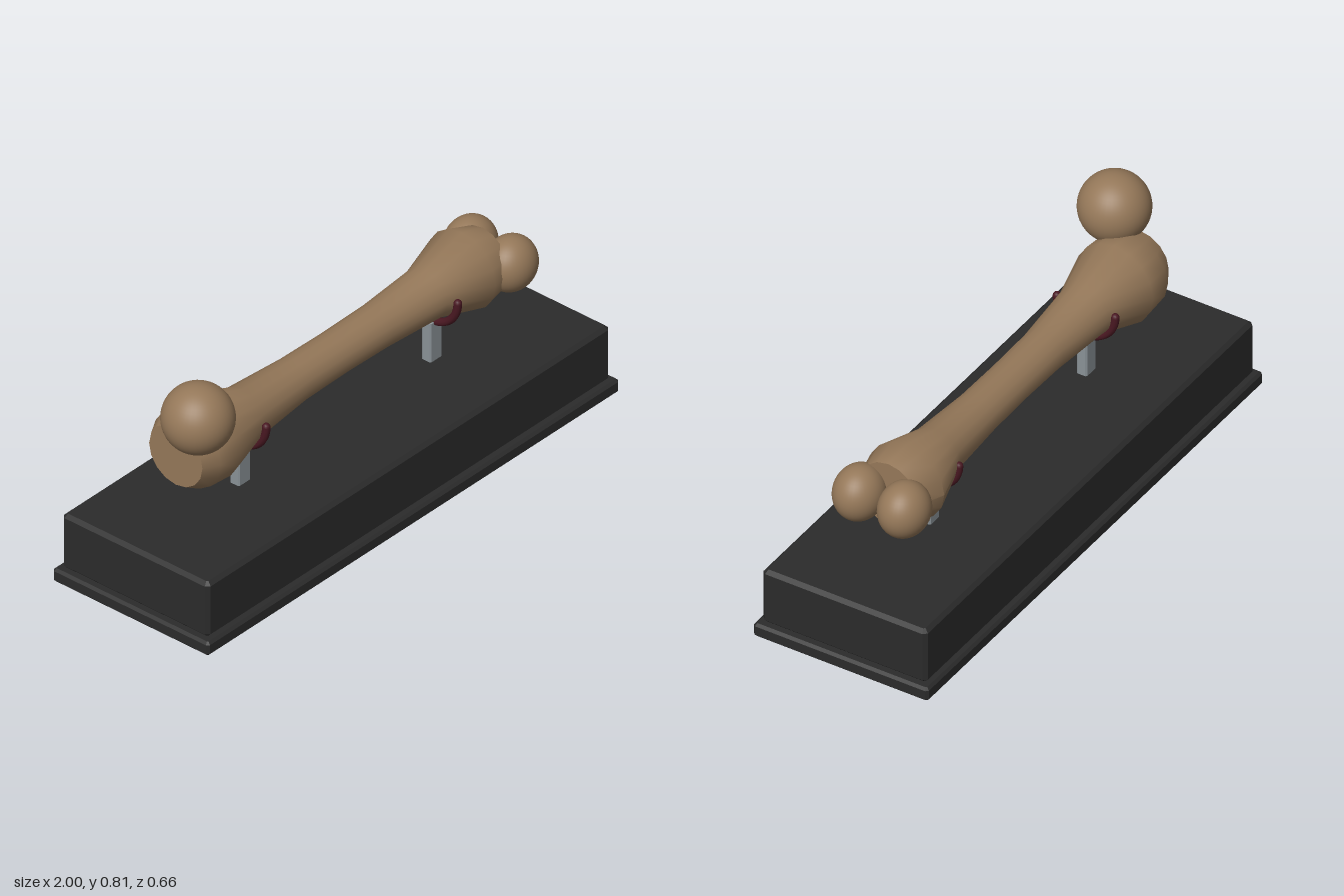
import * as THREE from 'three';
import { toCreasedNormals } from 'three/addons/utils/BufferGeometryUtils.js';

const mat = (name, color) => new THREE.MeshStandardMaterial({ name, color });

function add(parent, name, geometry, material, x = 0, y = 0, z = 0) {
  const mesh = new THREE.Mesh(geometry, material);
  mesh.name = name;
  mesh.position.set(x, y, z);
  parent.add(mesh);
  return mesh;
}

// Box with every edge cut by c, standing on y = 0
function chamferedBox(w, h, d, c) {
  const a = w / 2, b = d / 2;
  const shape = new THREE.Shape([
    [a - c, -b], [a, c - b], [a, b - c], [a - c, b],
    [c - a, b], [-a, b - c], [-a, c - b], [c - a, -b],
  ].map(([x, y]) => new THREE.Vector2(x, y)));
  return new THREE.ExtrudeGeometry(shape, {
    depth: h - 2 * c, bevelSize: c, bevelThickness: c, bevelOffset: -c, bevelSegments: 1,
  }).rotateX(-Math.PI / 2).translate(0, c, 0);
}

// Oval rings along x: [x, top, bottom, back, front]
function shaftGeometry(rings) {
  const n = rings.length - 1;
  const geo = new THREE.CylinderGeometry(1, 1, n, 16, n);
  const p = geo.attributes.position;
  for (let i = 0; i < p.count; i++) {
    const [x, top, bottom, back, front] = rings[Math.round(p.getY(i) + n / 2)];
    p.setXYZ(i, x,
      (top + bottom) / 2 - p.getX(i) * (top - bottom) / 2,
      (front + back) / 2 + p.getZ(i) * (front - back) / 2);
  }
  return toCreasedNormals(geo, 0.8);
}

export function createModel() {
  const model = new THREE.Group();
  model.name = 'mountedBone';
  const black = mat('black base', 0x2b2b2b);
  const steel = mat('grey steel', 0x8a9297);
  const wine = mat('dark red padding', 0x4a1822);
  const tan = mat('brown bone', 0x957859);

  // Stepped plinth
  add(model, 'plinthFoot', chamferedBox(2, 0.052, 0.66, 0.009), black);
  add(model, 'plinthBlock', chamferedBox(1.956, 0.21, 0.62, 0.013), black, 0, 0.05);

  // Posts with half-ring cradles
  for (const side of [-1, 1]) {
    const support = new THREE.Group();
    support.name = side < 0 ? 'rightSupport' : 'leftSupport';
    support.position.x = side * 0.465;
    model.add(support);
    add(support, 'post', chamferedBox(0.058, 0.157, 0.04, 0.005), steel, 0, 0.257);
    const ring = new THREE.TorusGeometry(0.11, 0.014, 10, 28, Math.PI)
      .rotateZ(Math.PI).rotateY(Math.PI / 2);
    add(support, 'cradle', ring, wine, 0, 0.517);
    for (const z of [-0.11, 0.11]) {
      add(support, 'cradleTip', new THREE.SphereGeometry(0.014, 12, 8), wine, 0, 0.517, z);
    }
  }

  // Bone
  const bone = new THREE.Group();
  bone.name = 'bone';
  model.add(bone);
  add(bone, 'shaft', shaftGeometry([
    [-0.775, 0.625, 0.403, -0.115, 0.11],
    [-0.715, 0.648, 0.368, -0.15, 0.135],
    [-0.62, 0.662, 0.358, -0.155, 0.138],
    [-0.45, 0.605, 0.419, -0.1, 0.095],
    [-0.2, 0.589, 0.438, -0.085, 0.072],
    [0, 0.586, 0.442, -0.083, 0.07],
    [0.2, 0.589, 0.438, -0.085, 0.072],
    [0.44, 0.605, 0.428, -0.1, 0.088],
    [0.62, 0.658, 0.374, -0.153, 0.135],
    [0.71, 0.635, 0.394, -0.112, 0.115],
  ]), tan);
  add(bone, 'ballHead', new THREE.SphereGeometry(0.121, 40, 28), tan, -0.765, 0.694, 0.083);
  for (const z of [-0.085, 0.085]) {
    add(bone, z < 0 ? 'backKnuckle' : 'frontKnuckle',
      new THREE.SphereGeometry(0.097, 36, 24), tan, 0.75, 0.517, z).scale.z = 0.88;
  }
  return model;
}
